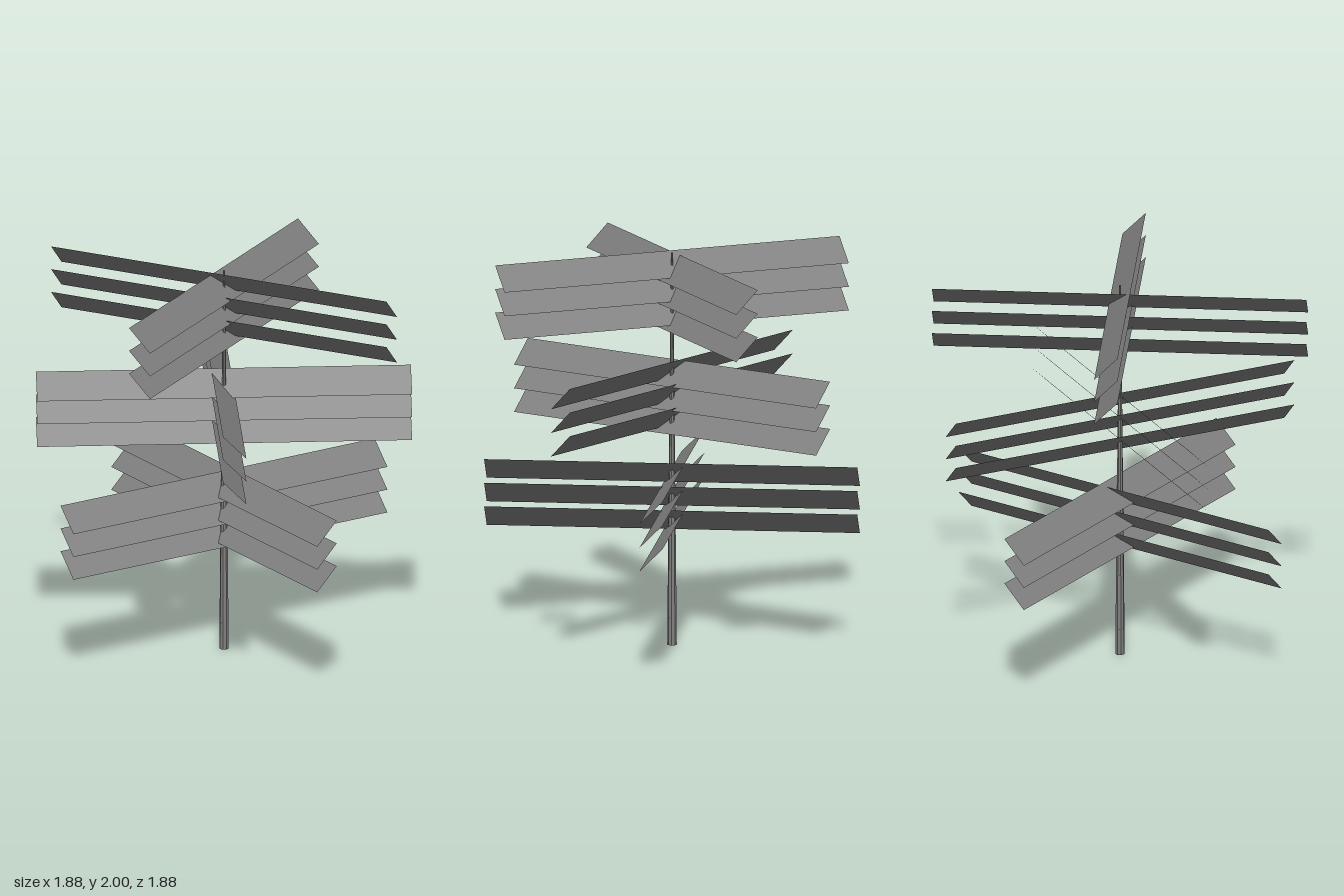
import * as THREE from 'three';

export function createModel() {
  const model = new THREE.Group();
  const grey = new THREE.MeshStandardMaterial({ color: 0x808080, side: THREE.DoubleSide, flatShading: true });
  grey.name = 'grey';

  // Mast: stacked sections, each a little thinner than the one below
  const joints = [0, 0.14, 0.43, 0.72, 1.0, 1.29, 1.57, 1.86, 2.0];
  const radiusAt = (y) => 0.024 - 0.0095 * y;
  const mast = new THREE.Group();
  mast.name = 'mast';
  for (let i = 0; i < joints.length - 1; i++) {
    const low = joints[i], high = joints[i + 1];
    const section = new THREE.Mesh(
      new THREE.CylinderGeometry(radiusAt(high) + 0.0005, radiusAt(low), high - low, 8), grey);
    section.name = 'mastSection';
    section.position.y = (low + high) / 2;
    mast.add(section);
  }
  model.add(mast);

  // One flat slat, tilted 45 degrees
  const slatGeometry = new THREE.PlaneGeometry(1.88, 0.166).rotateX(-Math.PI / 4);

  // Stacks of three slats: [centre height of lowest slat, heading in degrees]
  const stacks = [
    [0.616, 0], [0.637, -90],
    [1.144, 60], [1.163, -30],
    [1.677, 30], [1.700, 120],
  ];
  for (const [height, heading] of stacks) {
    const stack = new THREE.Group();
    stack.name = 'slatStack';
    stack.position.y = height;
    stack.rotation.y = THREE.MathUtils.degToRad(heading);
    for (let i = 0; i < 3; i++) {
      const slat = new THREE.Mesh(slatGeometry, grey);
      slat.name = 'slat';
      slat.position.y = i * 0.1205;
      stack.add(slat);
    }
    model.add(stack);
  }
  return model;
}
